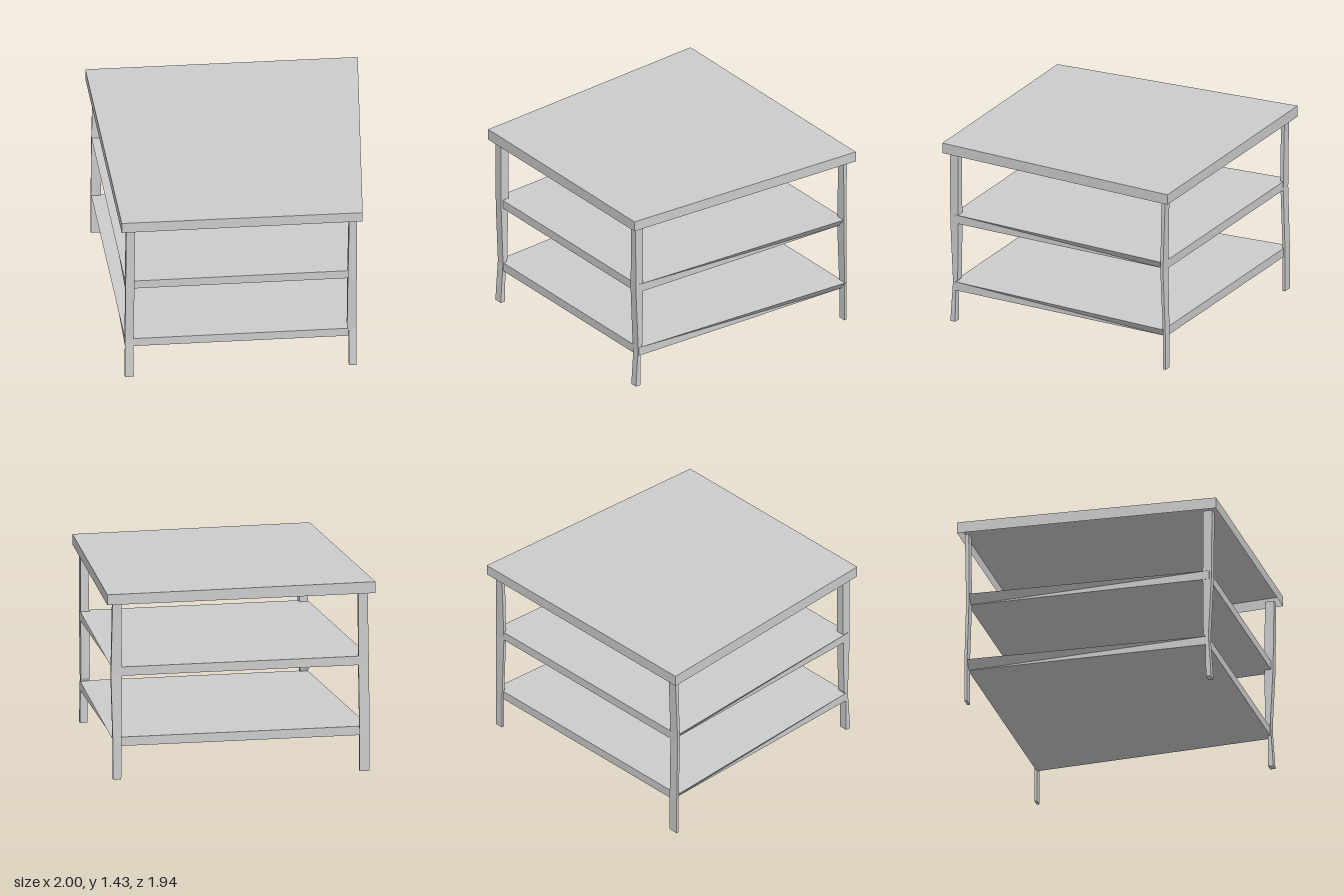
import * as THREE from 'three';

const material = new THREE.MeshStandardMaterial({
  color: 0xcccccc, flatShading: true, side: THREE.DoubleSide,
});

// Solid, or shell with an open bottom, through four-cornered rings from bottom to top.
// Ring corners: front -x, front +x, back +x, back -x.
function loft(name, rings, closedBottom = true) {
  const pos = [];
  const tri = (a, b, c) => pos.push(...a, ...b, ...c);
  for (let i = 0; i < rings.length - 1; i++) {
    for (let k = 0; k < 4; k++) {
      const n = (k + 1) % 4;
      const a = rings[i][k], b = rings[i][n], c = rings[i + 1][n], d = rings[i + 1][k];
      // side walls fold from the front top to the back bottom
      if (k === 3) { tri(a, b, c); tri(a, c, d); }
      else { tri(a, b, d); tri(b, c, d); }
    }
  }
  const lo = rings[0], hi = rings[rings.length - 1];
  if (closedBottom) { tri(lo[0], lo[2], lo[1]); tri(lo[0], lo[3], lo[2]); }
  tri(hi[0], hi[1], hi[2]); tri(hi[0], hi[2], hi[3]);
  const geo = new THREE.BufferGeometry();
  geo.setAttribute('position', new THREE.Float32BufferAttribute(pos, 3));
  geo.computeVertexNormals();
  const mesh = new THREE.Mesh(geo, material);
  mesh.name = name;
  return mesh;
}

// Trapezoid ring: front and back x ranges at their own depths.
const trapezoid = (y, f0, f1, b0, b1, zf, zb) =>
  [[f0, y, zf], [f1, y, zf], [b1, y, zb], [b0, y, zb]];

// Leg cross-section at one height.
const legRing = ([y, x0, x1, z0, z1]) =>
  [[x0, y, z1], [x1, y, z1], [x1, y, z0], [x0, y, z0]];

export function createModel() {
  const group = new THREE.Group();
  group.name = 'threeTierTable';

  // Tabletop: a sheet with a rim hanging down, slightly higher on the -x side
  const [low, high] = [1.345, 1.423].map((y) => trapezoid(y, -0.892, 0.877, -1, 1, 0.97, -0.97));
  high[0][1] = high[3][1] = 1.43;
  group.add(loft('tabletop', [low, high], false));

  // Two shelves with the underside drawn in at the back corners
  [['upperShelf', 0.795, 0.862, 0.91], ['lowerShelf', 0.268, 0.335, 0.9]].forEach(([name, y0, y1, zf]) => {
    group.add(loft(name, [
      trapezoid(y0, -0.862, 0.837, -0.91, 0.905, zf, -0.912),
      trapezoid(y1, -0.862, 0.837, -0.962, 0.958, zf, -0.912),
    ]));
  });

  // Slightly crooked legs: [y, x0, x1, z0, z1] from foot to top
  const legs = {
    frontLeftLeg: [
      [0.02, 0.78, 0.837, 0.885, 0.925], [0.32, 0.78, 0.835, 0.882, 0.905],
      [0.36, 0.768, 0.835, 0.865, 0.905], [0.8, 0.772, 0.837, 0.86, 0.925],
      [1.35, 0.782, 0.837, 0.86, 0.93],
    ],
    frontRightLeg: [
      [0.01, -0.865, -0.8, 0.885, 0.925], [0.32, -0.862, -0.8, 0.882, 0.905],
      [0.36, -0.862, -0.8, 0.865, 0.905], [0.8, -0.86, -0.795, 0.86, 0.925],
      [1.35, -0.855, -0.79, 0.86, 0.93],
    ],
    backLeftLeg: [
      [0.02, 0.888, 0.948, -0.925, -0.905], [0.3, 0.885, 0.95, -0.925, -0.905],
      [0.8, 0.88, 0.962, -0.912, -0.89], [1.35, 0.887, 0.952, -0.925, -0.895],
    ],
    backRightLeg: [
      [0, -0.965, -0.89, -0.925, -0.905], [0.3, -0.965, -0.89, -0.925, -0.905],
      [0.8, -0.962, -0.885, -0.912, -0.89], [1.35, -0.95, -0.88, -0.925, -0.895],
    ],
  };
  for (const [name, rings] of Object.entries(legs)) group.add(loft(name, rings.map(legRing)));

  return group;
}
